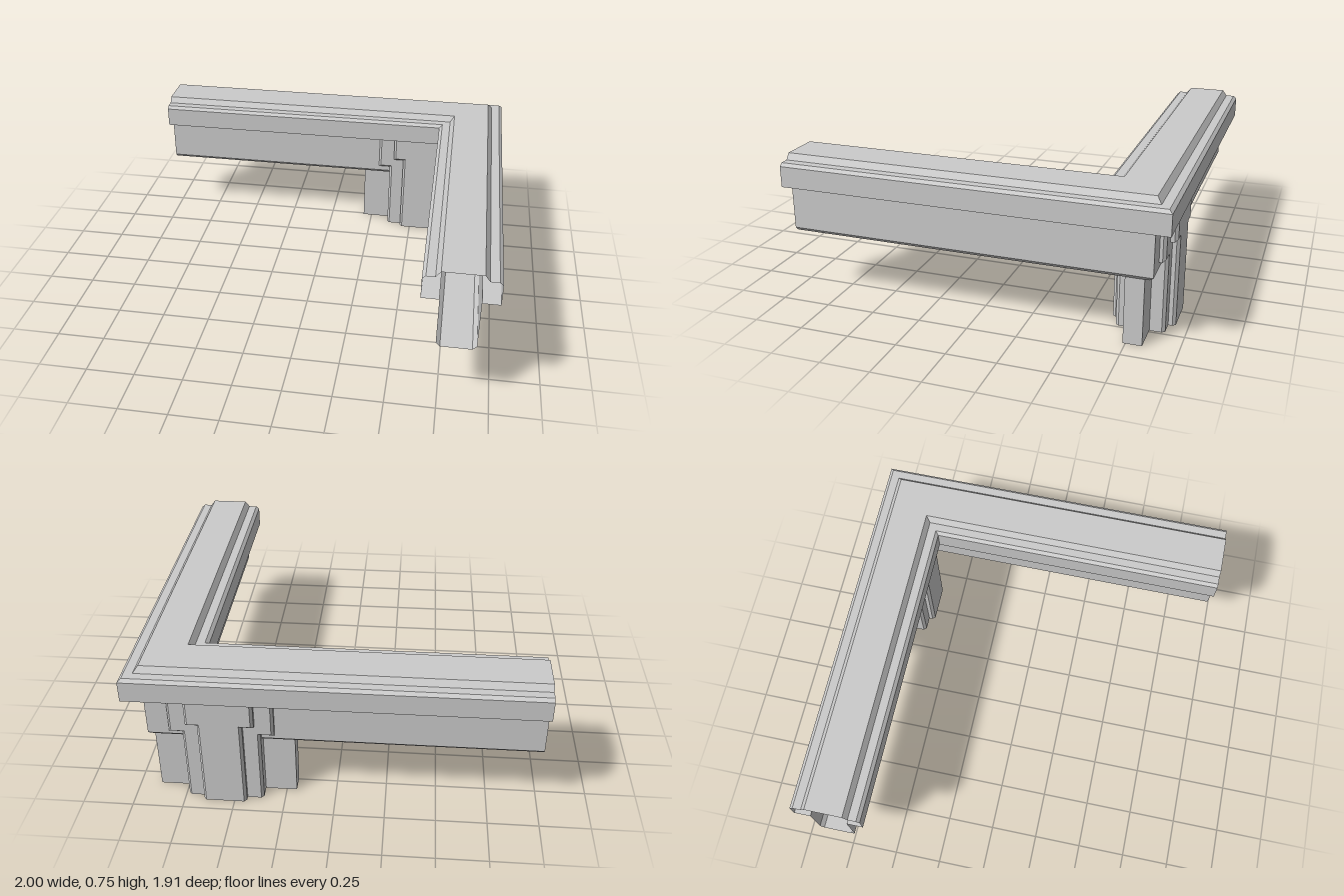
import * as THREE from 'three';

const material = new THREE.MeshStandardMaterial({ color: 0xcccccc, flatShading: true, side: THREE.DoubleSide });

// Skin consecutive rows of points with flat quads
function skin(rows, out = []) {
  for (let i = 0; i < rows.length - 1; i++) {
    for (let j = 0; j < rows[i].length - 1; j++) {
      const a = rows[i][j], b = rows[i][j + 1], c = rows[i + 1][j + 1], d = rows[i + 1][j];
      out.push(...a, ...b, ...c, ...a, ...c, ...d);
    }
  }
  return out;
}

function makeMesh(name, positions) {
  const geometry = new THREE.BufferGeometry();
  geometry.setAttribute('position', new THREE.Float32BufferAttribute(positions, 3));
  geometry.computeVertexNormals();
  const mesh = new THREE.Mesh(geometry, material);
  mesh.name = name;
  return mesh;
}

// Centre lines of the two arms
const CX = 0.82, CZ = -0.777;

// Sweep a profile [outward offset, height] round the mitred corner
function sweepCorner(name, profile) {
  return makeMesh(name, skin([
    profile.map(([u, y]) => [-1, y, CZ - u]),
    profile.map(([u, y]) => [CX + u, y, CZ - u]),
    profile.map(([u, y]) => [CX + u, y, 0.955]),
  ]));
}

const mirrored = (half) => [...half, ...half.map(([u, y]) => [-u, y]).reverse()];

// Stepped pillar, built as one quadrant and mirrored
function pillar() {
  const top = 0.605, bevel = 0.013, slabTop = 0.345;
  // Edge of a T-shaped layer: narrow below the ledge, wide above it
  const edge = (low, high, ledge, z) => [[low, 0, z], [low, ledge, z], [high, ledge, z], [high, top, z]];
  const layers = [
    edge(0.19, 0.256, 0.39, 0.046),
    edge(0.19, 0.256, 0.39, 0.105),
    edge(0.19 - bevel, 0.256 - bevel, 0.39 + bevel, 0.12),
    edge(0.108, 0.165, 0.457, 0.12),
    edge(0.108, 0.165, 0.457, 0.14),
    edge(0.108 - bevel, 0.165 - bevel, 0.457 + bevel, 0.155),
    edge(0, 0, 0.457 + bevel, 0.155),
  ];
  // Side wing ending under the beam
  const wing = [[0.347, 0], [0.347, 0.046], [0.19, 0.046]].map(([x, z]) => [[x, 0, z], [x, slabTop, z]]);

  const positions = [];
  for (const sx of [1, -1]) {
    for (const sz of [1, -1]) {
      for (const rows of [layers, wing]) {
        const quadrant = rows.map((row) => row.map(([x, y, z]) => [sx * x, y, sz * z]));
        if (sx * sz < 0) quadrant.reverse();
        skin(quadrant, positions);
      }
    }
  }
  const mesh = makeMesh('pillar', positions);
  mesh.position.set(0.547, 0, -0.783);
  return mesh;
}

export function createModel() {
  const model = new THREE.Group();
  model.name = 'cornerBeam';

  // Moulded coping with its overhanging underside
  model.add(sweepCorner('coping', mirrored([
    [0.095, 0.605], [0.18, 0.605], [0.18, 0.71], [0.163, 0.725], [0.12, 0.725], [0.097, 0.755],
  ])));

  // Hollow beam with chamfered lower edges
  model.add(sweepCorner('beam', mirrored([[0.095, 0.605], [0.095, 0.36], [0.075, 0.34]]).reverse()));

  model.add(pillar());
  return model;
}
